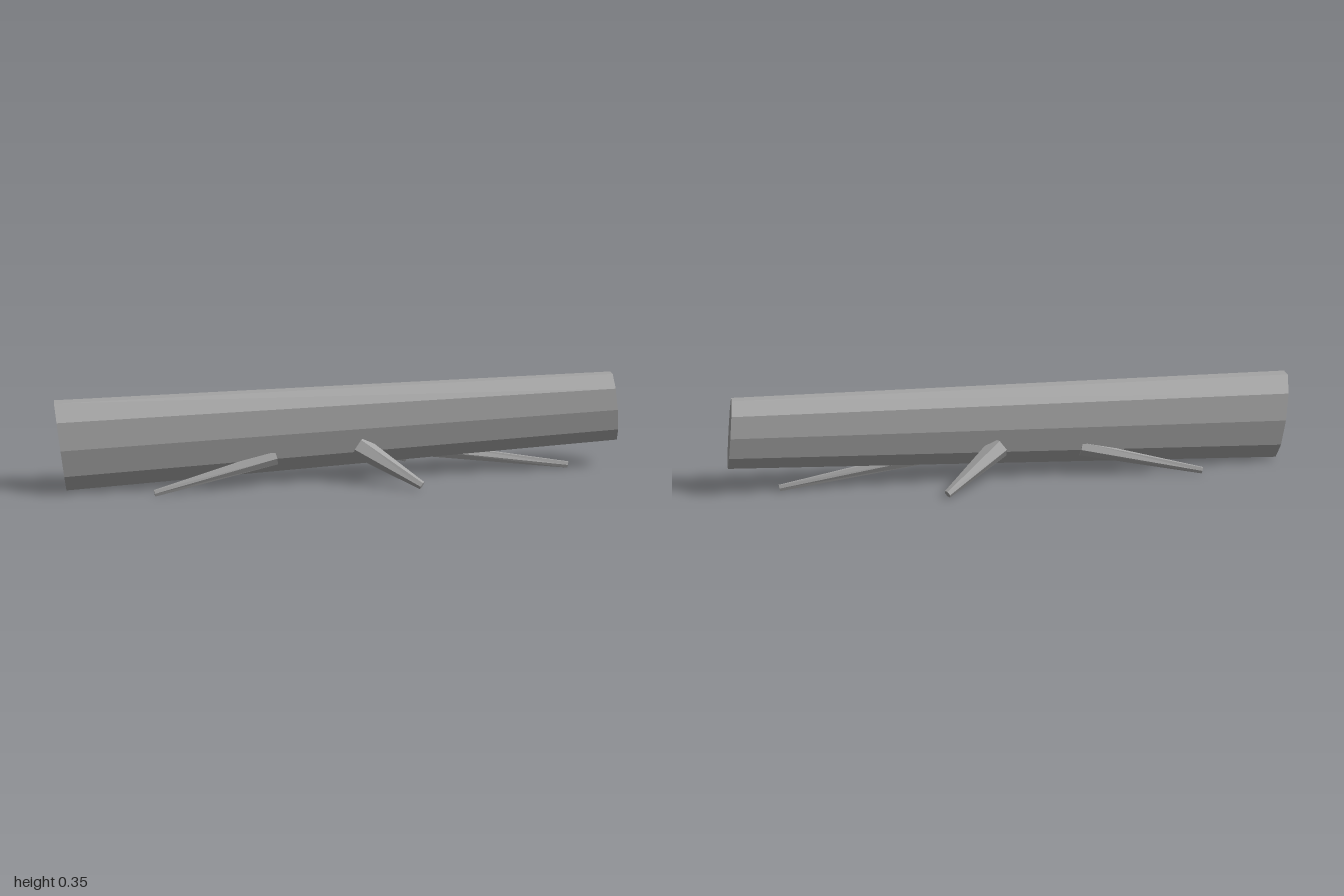
import * as THREE from 'three';

const V = (x, y, z) => new THREE.Vector3(x, y, z);

// Points of an elliptical section: centre + u*cos + v*sin
function ring(centre, u, v, sides) {
  return Array.from({ length: sides }, (_, i) => {
    const a = (i / sides) * Math.PI * 2;
    return centre.clone().addScaledVector(u, Math.cos(a)).addScaledVector(v, Math.sin(a));
  });
}

// Closed, faceted solid between two matching sections
function loft(a, b) {
  const n = a.length, index = [];
  for (let i = 0; i < n; i++) {
    const j = (i + 1) % n;
    index.push(i, j, n + j, i, n + j, n + i);
    if (i > 0 && i < n - 1) index.push(0, i + 1, i, n, n + i, n + i + 1);
  }
  const indexed = new THREE.BufferGeometry().setFromPoints([...a, ...b]);
  indexed.setIndex(index);
  const geometry = indexed.toNonIndexed();
  geometry.computeVertexNormals();
  return geometry;
}

// Tapered six-sided branch; radii are [sideways, upright]
function branchGeometry(base, tip, baseRadii, tipRadii) {
  const d = tip.clone().sub(base).normalize();
  const u = V(0, 1, 0).cross(d).normalize();
  const v = d.clone().cross(u);
  const section = (p, [ru, rv]) =>
    ring(p, u.clone().multiplyScalar(ru), v.clone().multiplyScalar(rv), 6);
  return loft(section(base, baseRadii), section(tip, tipRadii));
}

export function createModel() {
  const model = new THREE.Group();
  model.name = 'fallenLog';
  const bark = new THREE.MeshStandardMaterial({ color: 0xa4a4a4 });
  bark.name = 'greyBark';
  bark.flatShading = true;

  const add = (name, geometry) => {
    const mesh = new THREE.Mesh(geometry, bark);
    mesh.name = name;
    model.add(mesh);
  };

  // Tall oval trunk with slanted ends
  add('trunk', loft(
    ring(V(-0.985, 0.169, 0), V(0, 0, -0.072), V(-0.016, 0.165, 0), 10),
    ring(V(0.987, 0.229, 0), V(0, 0, -0.058), V(-0.013, 0.129, 0), 10),
  ));

  // Mirrored side branches
  for (const [side, s] of [['front', 1], ['back', -1]]) {
    add(`${side}ThickBranch`, branchGeometry(
      V(0.055, 0.132, 0.046 * s), V(0.258, 0.016, 0.167 * s), [0.042, 0.04], [0.014, 0.015]));
    add(`${side}ThinBranch`, branchGeometry(
      V(-0.24, 0.106, 0.045 * s), V(-0.67, 0.014, 0.106 * s), [0.02, 0.028], [0.007, 0.013]));
  }

  // Single branch under the narrow end
  add('lowerBranch', branchGeometry(
    V(0.3, 0.098, 0), V(0.825, 0.015, 0), [0.018, 0.028], [0.006, 0.013]));

  return model;
}
